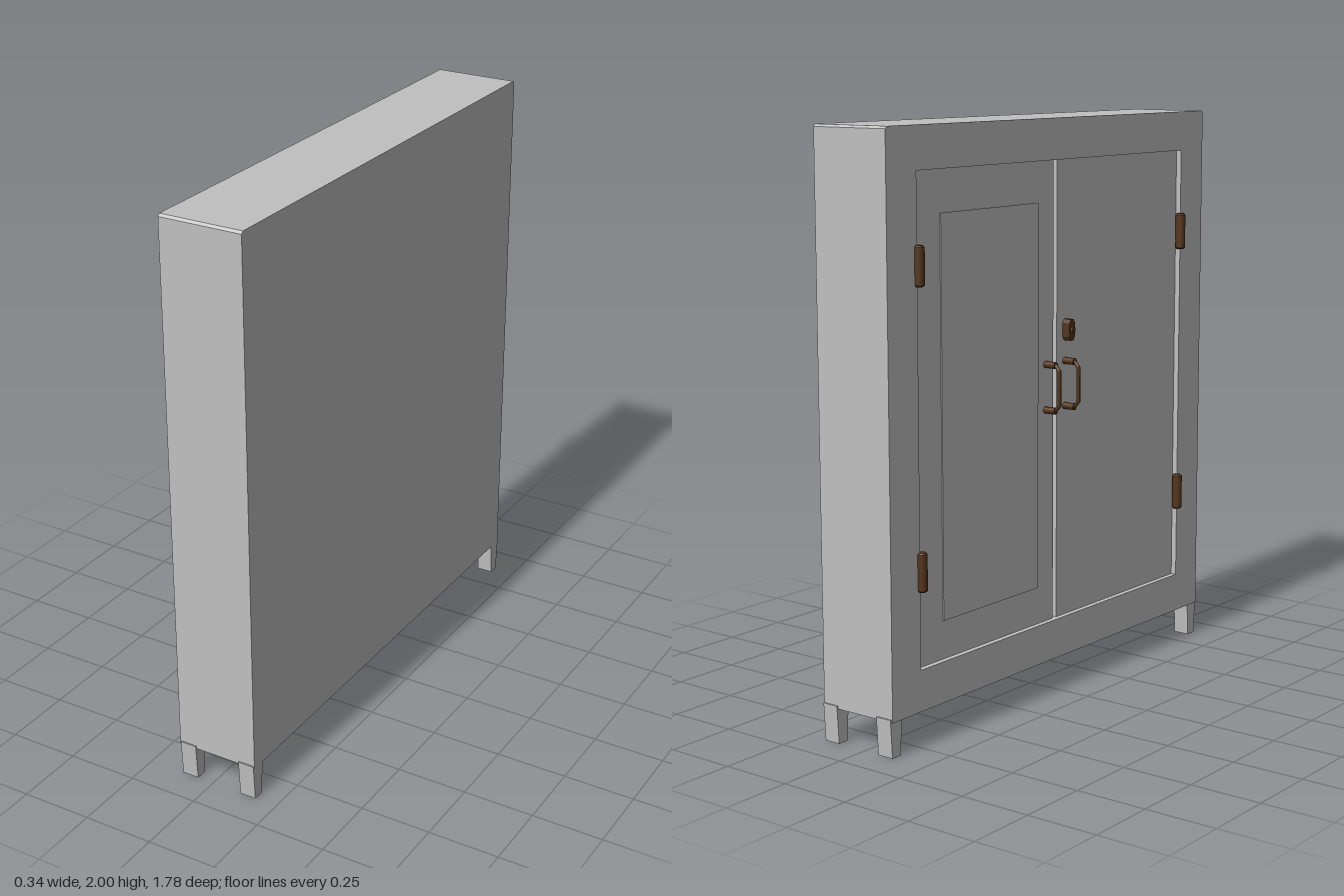
import * as THREE from 'three';

const grey = new THREE.MeshStandardMaterial({ color: 0xc0c0c0 });
grey.name = 'grey paint';
const bronze = new THREE.MeshStandardMaterial({ color: 0x54351a });
bronze.name = 'dark bronze';

const FRONT = -0.125, BACK = 0.17, HALF = 0.887, RECESS = 0.02;

// Shape drawn in (z, y), extruded along x from x0 to x1
function slab(shape, x0, x1) {
  const g = new THREE.ExtrudeGeometry(shape, { depth: x1 - x0, bevelEnabled: false, curveSegments: 8 });
  g.rotateY(Math.PI / 2);
  g.translate(x0, 0, 0);
  return g;
}

function polygon(points) {
  return new THREE.Shape(points.map(([z, y]) => new THREE.Vector2(z, y)));
}

// Cabinet outline with small chamfers on the upper corners
function outline() {
  const c = 0.008;
  return polygon([[-HALF, 0.12], [HALF, 0.12], [HALF, 2 - c], [HALF - c, 2], [-HALF + c, 2], [-HALF, 2 - c]]);
}

export function createModel() {
  const root = new THREE.Group();
  root.name = 'cabinet';

  function add(name, geometry, material, x = 0, y = 0, z = 0) {
    const m = new THREE.Mesh(geometry, material);
    m.name = name;
    m.position.set(x, y, z);
    root.add(m);
    return m;
  }
  const box = (name, x0, x1, y0, y1, z0, z1) => add(name,
    new THREE.BoxGeometry(x1 - x0, y1 - y0, z1 - z0), grey,
    (x0 + x1) / 2, (y0 + y1) / 2, (z0 + z1) / 2);

  // Body and face frame around the door opening
  const core = FRONT + 2 * RECESS;
  add('body', slab(outline(), core, BACK), grey);
  const frame = outline();
  frame.holes.push(new THREE.Path([[-0.745, 0.26], [-0.745, 1.86], [0.745, 1.86], [0.745, 0.26]]
    .map(([z, y]) => new THREE.Vector2(z, y))));
  add('faceFrame', slab(frame, FRONT, core), grey);

  // Two recessed doors with a gap between them
  const doorX = FRONT + RECESS;
  box('rightDoor', doorX, core, 0.26, 1.86, -0.745, -0.01);
  box('leftDoor', doorX, core, 0.26, 1.86, 0.01, 0.745);
  box('mirrorPanel', doorX - 0.004, doorX, 0.39, 1.72, -0.61, -0.1);

  // Tapered feet
  const foot = polygon([[-0.02, 0], [0.02, 0], [0.028, 0.13], [-0.028, 0.13]]);
  for (const z of [-0.864, 0.864]) {
    add('frontFoot', slab(foot, -0.12, -0.06), grey, 0, 0, z);
    add('backFoot', slab(foot, 0.11, 0.169), grey, 0, 0, z);
  }

  // Barrel hinges
  for (const z of [-0.74, 0.74]) for (const y of [0.585, 1.565]) {
    add('hinge', new THREE.CylinderGeometry(0.018, 0.018, 0.12, 12), bronze, -0.129, y, z);
    for (const s of [-1, 1]) {
      const cap = add('hingeCap', new THREE.CylinderGeometry(0.013, 0.018, 0.005, 12), bronze, -0.129, y + s * 0.0625, z);
      if (s < 0) cap.rotation.x = Math.PI;
    }
  }

  // Pull handles with chamfered corners
  const path = new THREE.CurvePath();
  const pts = [[doorX, 1.009], [-0.148, 1.009], [-0.165, 1.028], [-0.165, 1.148], [-0.148, 1.167], [doorX, 1.167]]
    .map(([x, y]) => new THREE.Vector3(x, y, 0));
  for (let i = 1; i < pts.length; i++) path.add(new THREE.LineCurve3(pts[i - 1], pts[i]));
  const grip = new THREE.TubeGeometry(path, 60, 0.007, 8);
  for (const z of [-0.055, 0.055]) {
    add('handle', grip, bronze, 0, 0, z);
    for (const y of [1.009, 1.167]) {
      const collar = add('handleCollar', new THREE.CylinderGeometry(0.012, 0.012, 0.045, 10), bronze, -0.1275, y, z);
      collar.rotation.z = Math.PI / 2;
    }
  }

  // Lock plate with pointed ends and a small boss
  const plate = polygon([[-0.008, -0.037], [0.008, -0.037], [0.016, -0.024], [0.016, 0.024],
    [0.008, 0.037], [-0.008, 0.037], [-0.016, 0.024], [-0.016, -0.024]]);
  add('lockPlate', slab(plate, -0.134, doorX), bronze, 0, 1.275, 0.06);
  const boss = add('lockBoss', new THREE.CylinderGeometry(0.01, 0.01, 0.012, 10), bronze, -0.136, 1.275, 0.06);
  boss.rotation.z = Math.PI / 2;

  return root;
}
